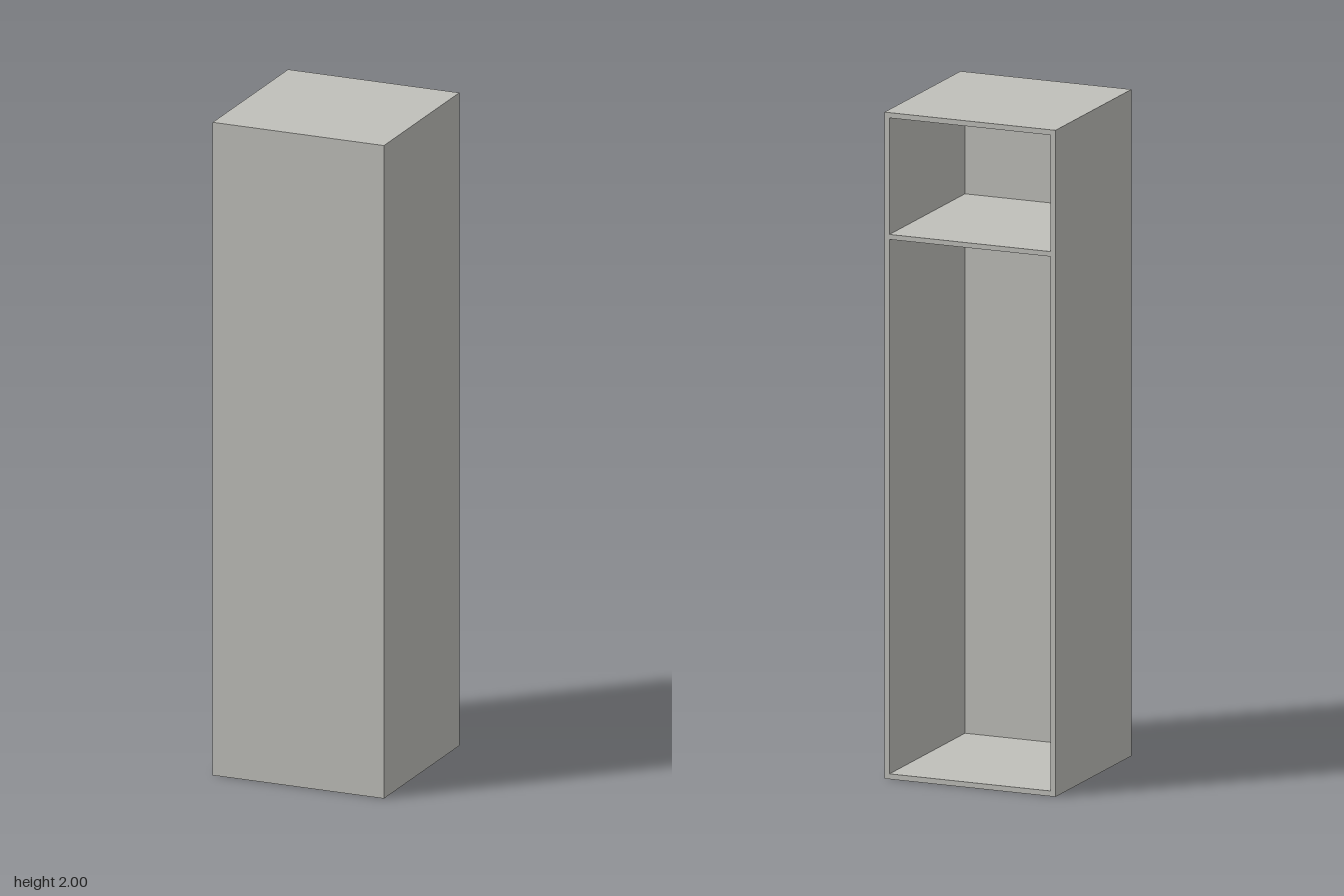
import * as THREE from 'three';

export function createModel() {
  const group = new THREE.Group();
  const paintedPanel = new THREE.MeshStandardMaterial({ color: 0xbfbfba });

  const width = 0.545, depth = 0.545, height = 2;
  const wall = 0.016, frontThickness = 0.004;
  const innerWidth = width - 2 * wall;
  const innerDepth = depth - frontThickness;
  const innerZ = -frontThickness / 2;

  function panel(name, size, position) {
    const mesh = new THREE.Mesh(new THREE.BoxGeometry(...size), paintedPanel);
    mesh.name = name;
    mesh.position.set(...position);
    group.add(mesh);
  }

  // Side walls, full height
  for (const [name, side] of [['leftWall', 1], ['rightWall', -1]]) {
    panel(name, [wall, height, innerDepth], [side * (width - wall) / 2, height / 2, innerZ]);
  }

  // Horizontal boards between the side walls, open towards the back
  panel('floorBoard', [innerWidth, wall, innerDepth], [0, wall / 2, innerZ]);
  panel('shelf', [innerWidth, 0.015, innerDepth], [0, 1.627, innerZ]);
  panel('topBoard', [innerWidth, wall, innerDepth], [0, height - wall / 2, innerZ]);

  // Thin closed front
  panel('frontPanel', [width, height, frontThickness], [0, height / 2, (depth - frontThickness) / 2]);

  return group;
}
